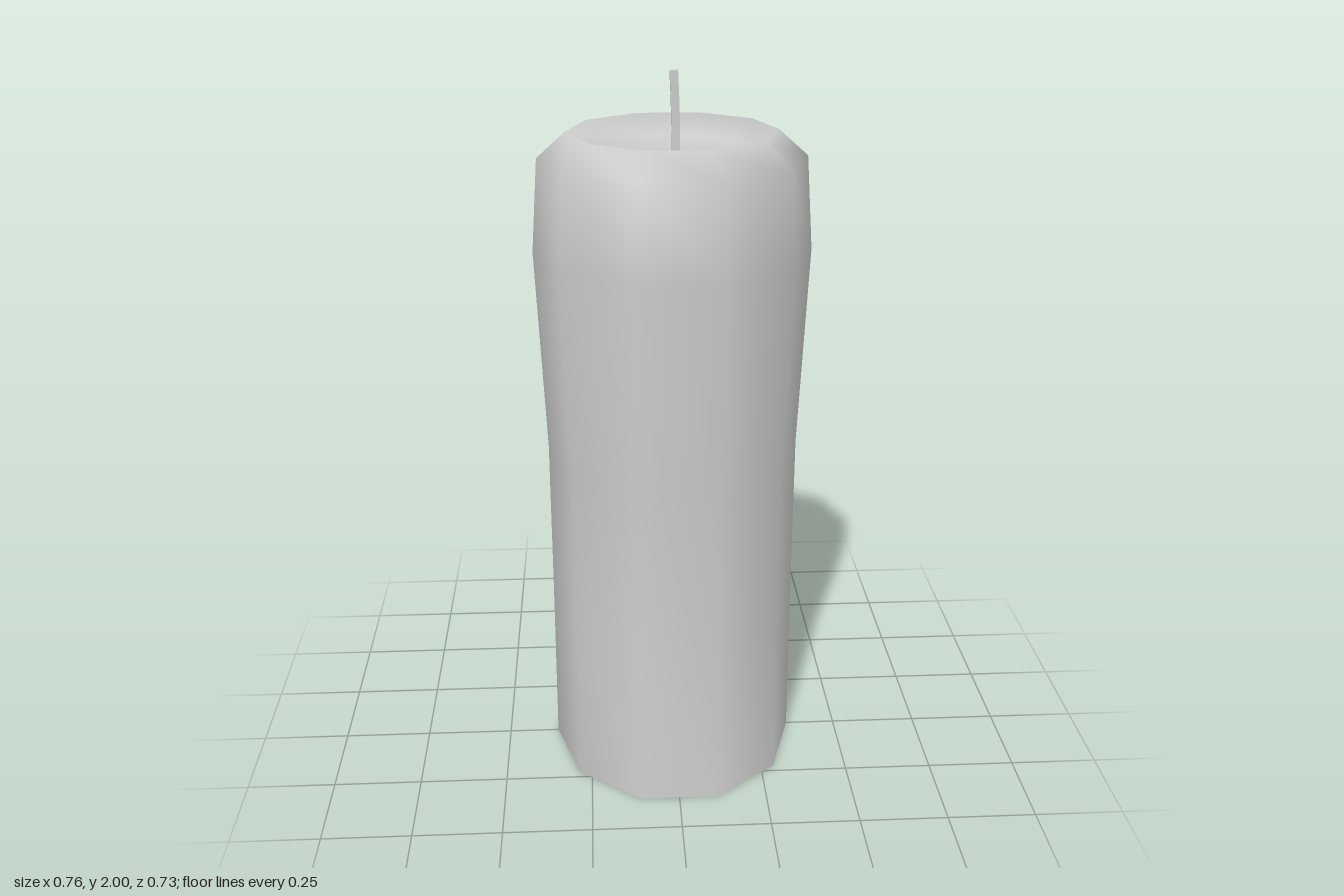
import * as THREE from 'three';
import { mergeVertices } from 'three/addons/utils/BufferGeometryUtils.js';

const SIDES = 10;

// Ten-sided wax body: open base, bulging shoulder, sunken melt pool on top
function createWax() {
  const profile = [
    [0.354, 0], [0.353, 0.48], [0.354, 0.95], [0.38, 1.52],
    [0.362, 1.775], [0.283, 1.845], [0.2, 1.8], [0, 1.79],
  ].map(([r, y]) => new THREE.Vector2(r, y));
  const lathe = new THREE.LatheGeometry(profile, SIDES, Math.PI / 2);

  // The foot flares towards front and back only
  const pos = lathe.attributes.position;
  for (let i = 0; i < pos.count; i++) {
    if (pos.getY(i) < 0.01) pos.setZ(i, pos.getZ(i) * 1.085);
  }

  // Weld the seam so that the shading is smooth all round
  lathe.deleteAttribute('uv');
  lathe.deleteAttribute('normal');
  const geometry = mergeVertices(lathe, 1e-4);
  geometry.computeVertexNormals();
  const mesh = new THREE.Mesh(geometry, new THREE.MeshStandardMaterial({
    color: 0xcccccc, side: THREE.DoubleSide,
  }));
  mesh.name = 'waxBody';
  return mesh;
}

// Thin square wick, leaning over slightly towards its tip
function createWick() {
  const bottom = 1.78, height = 0.22;
  const geometry = new THREE.BoxGeometry(0.022, height, 0.021, 1, 3, 1);
  geometry.translate(0, bottom + height / 2, 0);
  const pos = geometry.attributes.position;
  for (let i = 0; i < pos.count; i++) {
    const t = (pos.getY(i) - bottom) / height;
    pos.setX(i, pos.getX(i) + 0.009 - 0.006 * t * t);
    pos.setZ(i, pos.getZ(i) - 0.009 + 0.004 * t * t);
  }
  geometry.computeVertexNormals();
  const mesh = new THREE.Mesh(geometry, new THREE.MeshStandardMaterial({
    color: 0xcccccc, flatShading: true,
  }));
  mesh.name = 'wick';
  return mesh;
}

export function createModel() {
  const candle = new THREE.Group();
  candle.name = 'candle';
  candle.add(createWax(), createWick());
  return candle;
}
